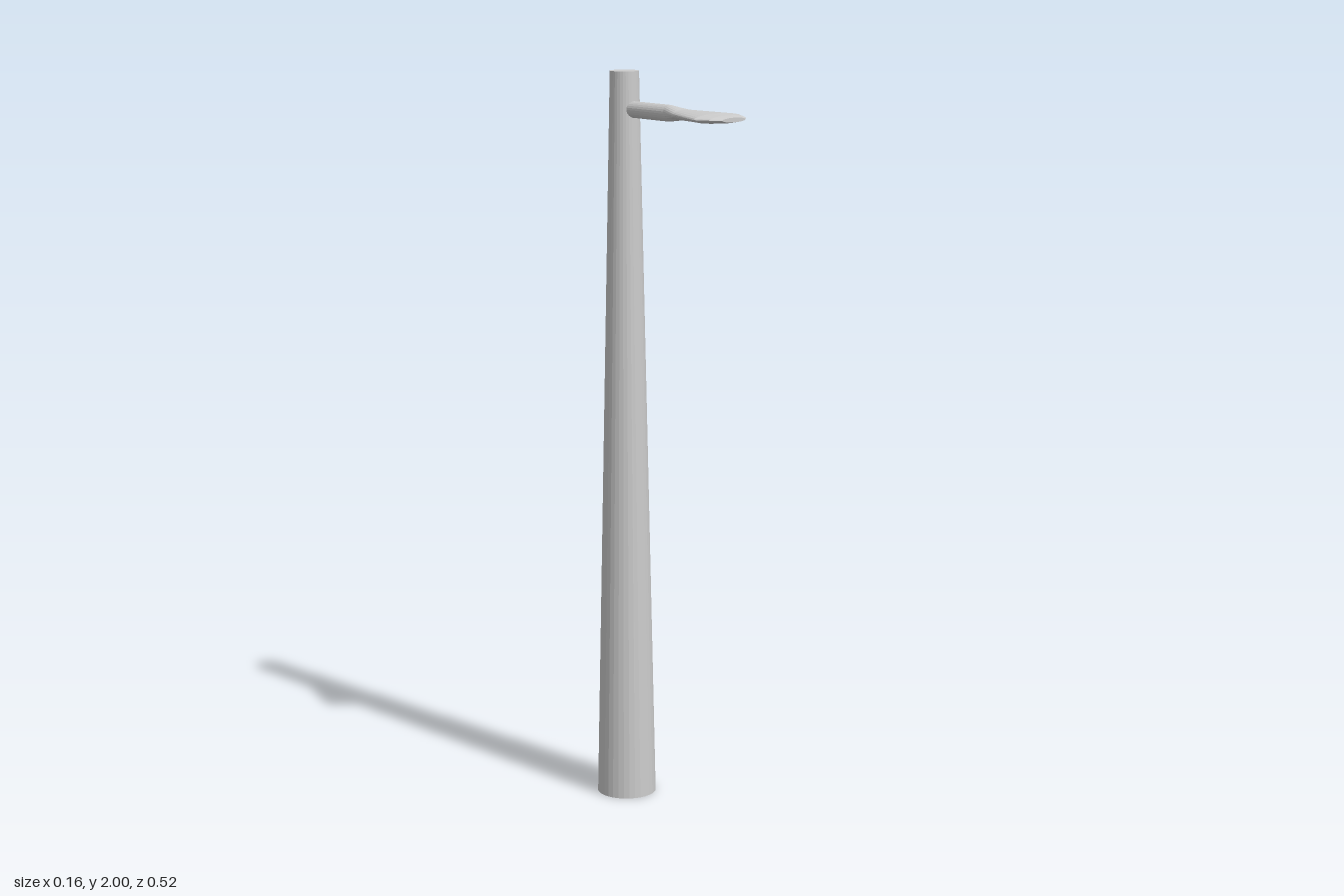
import * as THREE from 'three';

const material = new THREE.MeshStandardMaterial({ color: 0xcccccc, flatShading: true });
const POLE_Z = -0.18;
const ARM_Y = 1.9;

// Elliptical sections swept along z: each station is [z, halfWidth, halfHeight]
function loft(stations, sides) {
  const n = stations.length - 1;
  const geo = new THREE.CylinderGeometry(1, 1, n, sides, n);
  geo.rotateX(Math.PI / 2); // axis now runs along z, one unit per station
  const p = geo.attributes.position;
  for (let i = 0; i < p.count; i++) {
    const [z, w, h] = stations[Math.round(p.getZ(i) + n / 2)];
    p.setXYZ(i, p.getX(i) * w, p.getY(i) * h, z);
  }
  geo.computeVertexNormals();
  return geo;
}

function addPart(group, name, geometry, x, y, z) {
  const mesh = new THREE.Mesh(geometry, material);
  mesh.name = name;
  mesh.position.set(x, y, z);
  group.add(mesh);
}

export function createModel() {
  const group = new THREE.Group();
  group.name = 'streetLamp';

  // Tapered pole
  addPart(group, 'pole', new THREE.CylinderGeometry(0.039, 0.081, 2, 32), 0, 1, POLE_Z);

  // Round arm reaching forward from inside the pole
  addPart(group, 'arm', loft([[POLE_Z, 0.022, 0.022], [0.005, 0.022, 0.022]], 24), 0, ARM_Y, 0);

  // Flattened paddle-shaped lamp head
  const head = [
    [0.005, 0.022, 0.022],
    [0.065, 0.038, 0.014],
    [0.198, 0.081, 0.013],
    [0.236, 0.061, 0.01],
    [0.26, 0.039, 0.006],
  ];
  addPart(group, 'lampHead', loft(head, 24), 0, ARM_Y, 0);

  return group;
}
